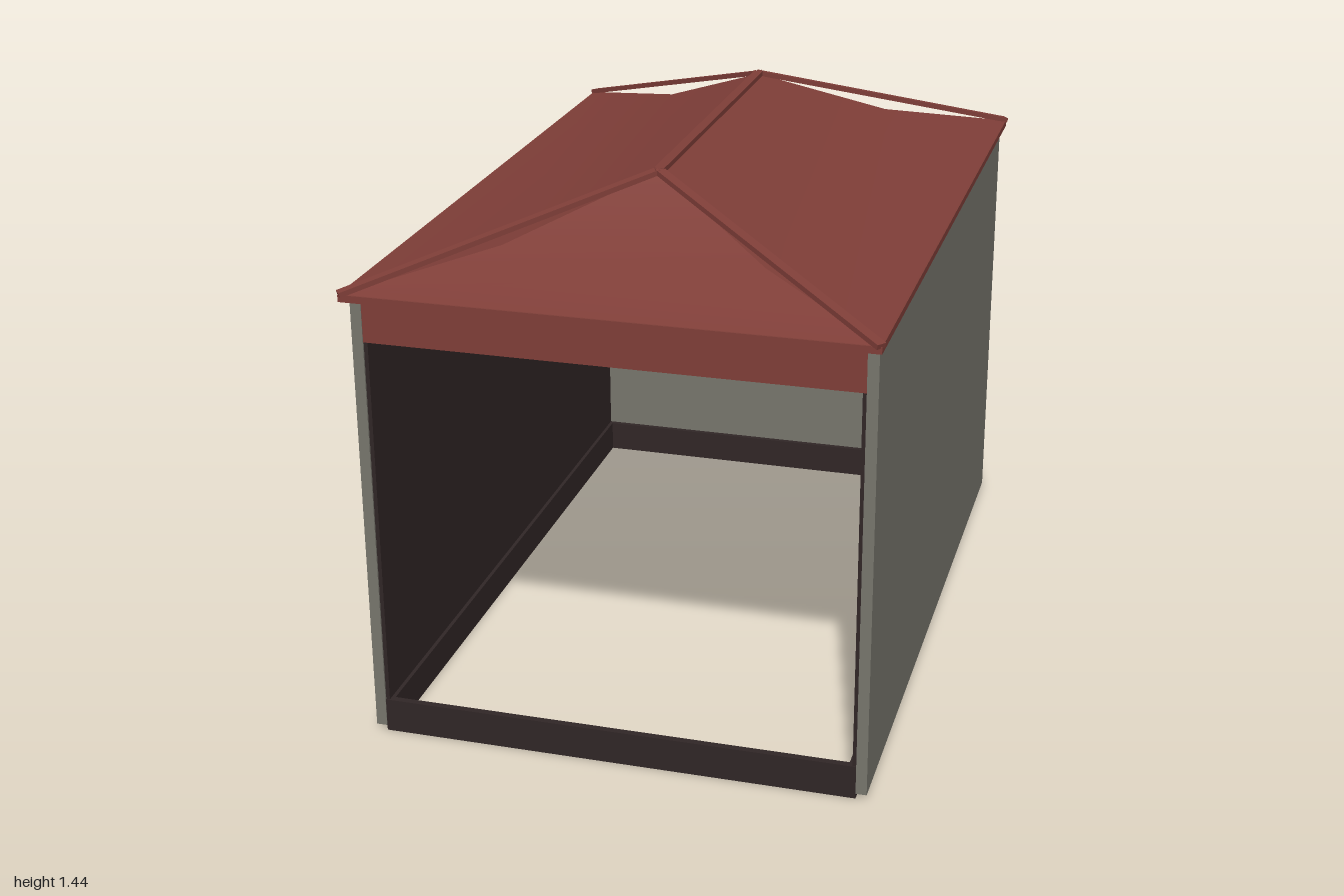
import * as THREE from 'three';

const red = new THREE.MeshStandardMaterial({ name: 'roofRed', color: 0x7f3e38 });
const grey = new THREE.MeshStandardMaterial({ name: 'wallGrey', color: 0x77756c });
const dark = new THREE.MeshStandardMaterial({ name: 'frameDark', color: 0x302626 });

// Box given by its lower and upper corners
function box(name, material, x0, x1, y0, y1, z0, z1) {
  const mesh = new THREE.Mesh(new THREE.BoxGeometry(x1 - x0, y1 - y0, z1 - z0), material);
  mesh.position.set((x0 + x1) / 2, (y0 + y1) / 2, (z0 + z1) / 2);
  mesh.name = name;
  return mesh;
}

// Bar laid between two points
function bar(name, a, b, width, height) {
  const mesh = new THREE.Mesh(new THREE.BoxGeometry(width, height, a.distanceTo(b)), red);
  mesh.position.copy(a).add(b).multiplyScalar(0.5);
  mesh.lookAt(b);
  mesh.name = name;
  return mesh;
}

// Roof levels from eave to ridge; the middle one sags
const levels = [
  { x: 0.655, y: 1.213, z: 0.985 },
  { x: 0.33, y: 1.288, z: 0.745 },
  { x: 0, y: 1.432, z: 0.505 },
];

// One roof slope between two corners, given as signs of x and z, left to right
function slope(name, left, right) {
  const points = [];
  const index = [];
  levels.forEach((l, i) => {
    for (const [sx, sz] of [left, right]) points.push(sx * l.x, l.y, sz * l.z);
    if (i > 0) {
      const a = (i - 1) * 2;
      index.push(a, a + 1, a + 3, a, a + 3, a + 2);
    }
  });
  const geometry = new THREE.BufferGeometry();
  geometry.setAttribute('position', new THREE.Float32BufferAttribute(points, 3));
  geometry.setIndex(index);
  geometry.computeVertexNormals();
  const mesh = new THREE.Mesh(geometry, red);
  mesh.name = name;
  return mesh;
}

export function createModel() {
  const model = new THREE.Group();
  model.name = 'openShed';

  // Side walls with dark lining inside
  for (const s of [-1, 1]) {
    const side = new THREE.Group();
    side.name = s > 0 ? 'leftWall' : 'rightWall';
    const span = (a, b) => [Math.min(s * a, s * b), Math.max(s * a, s * b)];
    side.add(
      box('sidePanel', grey, ...span(0.62, 0.648), 0.015, 1.195, -0.945, 0.95),
      box('sideLining', dark, ...span(0.61, 0.62), 0, 1.195, -0.945, 0.945),
      box('sideSill', dark, ...span(0.6, 0.62), 0, 0.09, -0.945, 0.945),
    );
    model.add(side);
  }

  // Back wall, front lintel and sills
  model.add(
    box('backPanel', grey, -0.62, 0.62, 0.015, 1.195, -0.97, -0.945),
    box('backSill', dark, -0.62, 0.62, 0, 0.09, -0.945, -0.93),
    box('frontSill', dark, -0.62, 0.62, 0, 0.09, 0.93, 0.948),
    box('lintel', red, -0.62, 0.62, 1.08, 1.195, 0.925, 0.948),
  );

  // Eaves and the four sagging slopes
  const roof = new THREE.Group();
  roof.name = 'roof';
  roof.add(
    box('eaves', red, -0.66, 0.66, 1.195, 1.213, -0.99, 0.99),
    slope('frontSlope', [-1, 1], [1, 1]),
    slope('leftSlope', [1, 1], [1, -1]),
    slope('backSlope', [1, -1], [-1, -1]),
    slope('rightSlope', [-1, -1], [-1, 1]),
  );

  // Straight ridge and hip bars
  const ridgeEnd = (s) => new THREE.Vector3(0, 1.434, s * 0.51);
  roof.add(bar('ridgeBar', ridgeEnd(-1), ridgeEnd(1), 0.026, 0.013));
  for (const sx of [-1, 1]) {
    for (const sz of [-1, 1]) {
      const corner = new THREE.Vector3(sx * 0.658, 1.215, sz * 0.99);
      roof.add(bar('hipBar', corner, ridgeEnd(sz), 0.026, 0.013));
    }
  }
  model.add(roof);
  return model;
}
